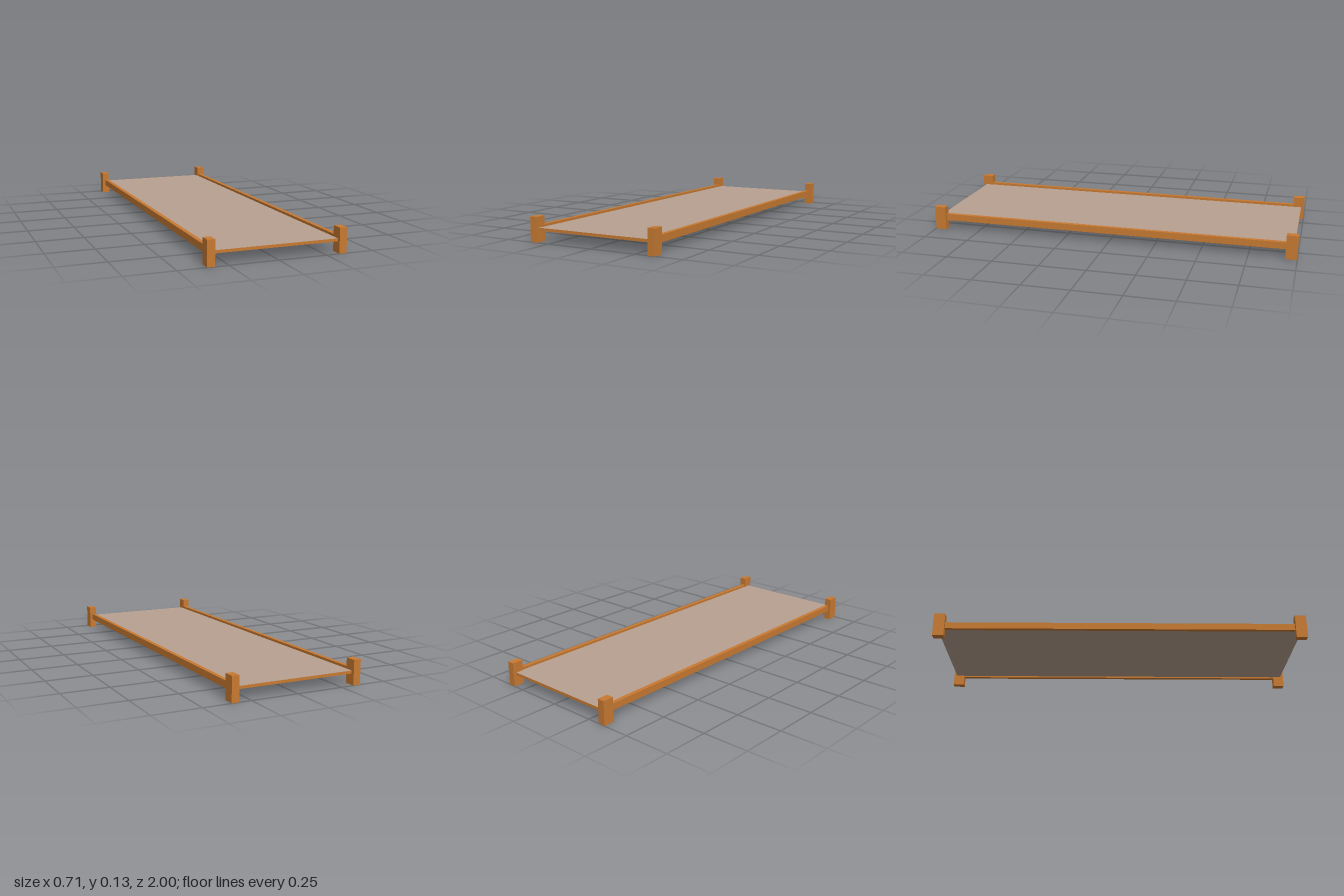
import * as THREE from 'three';

export function createModel() {
  const model = new THREE.Group();
  model.name = 'lowCot';

  const wood = new THREE.MeshStandardMaterial({ name: 'orange wood', color: 0xc87a32 });
  const fabric = new THREE.MeshStandardMaterial({ name: 'beige fabric', color: 0xb8a090 });

  function addBox(name, size, position, material) {
    const mesh = new THREE.Mesh(new THREE.BoxGeometry(...size), material);
    mesh.name = name;
    mesh.position.set(...position);
    model.add(mesh);
  }

  for (const side of [-1, 1]) {
    const sideName = side > 0 ? 'left' : 'right';

    // Corner posts; one back post sits slightly further in
    for (const end of [-1, 1]) {
      const x = side > 0 && end < 0 ? 0.334 : side * 0.3375;
      addBox(sideName + (end > 0 ? 'FrontPost' : 'BackPost'), [0.039, 0.128, 0.06], [x, 0.064, end * 0.97], wood);
    }

    // Long side rail between the posts
    addBox(sideName + 'Rail', [0.022, 0.036, 1.9], [side * 0.33, 0.067, 0], wood);
  }

  // Bed panel: fabric above and below, wooden edges
  addBox('bedPanel', [0.64, 0.015, 1.965], [0, 0.0645, -0.001], [wood, wood, fabric, fabric, wood, wood]);

  return model;
}
